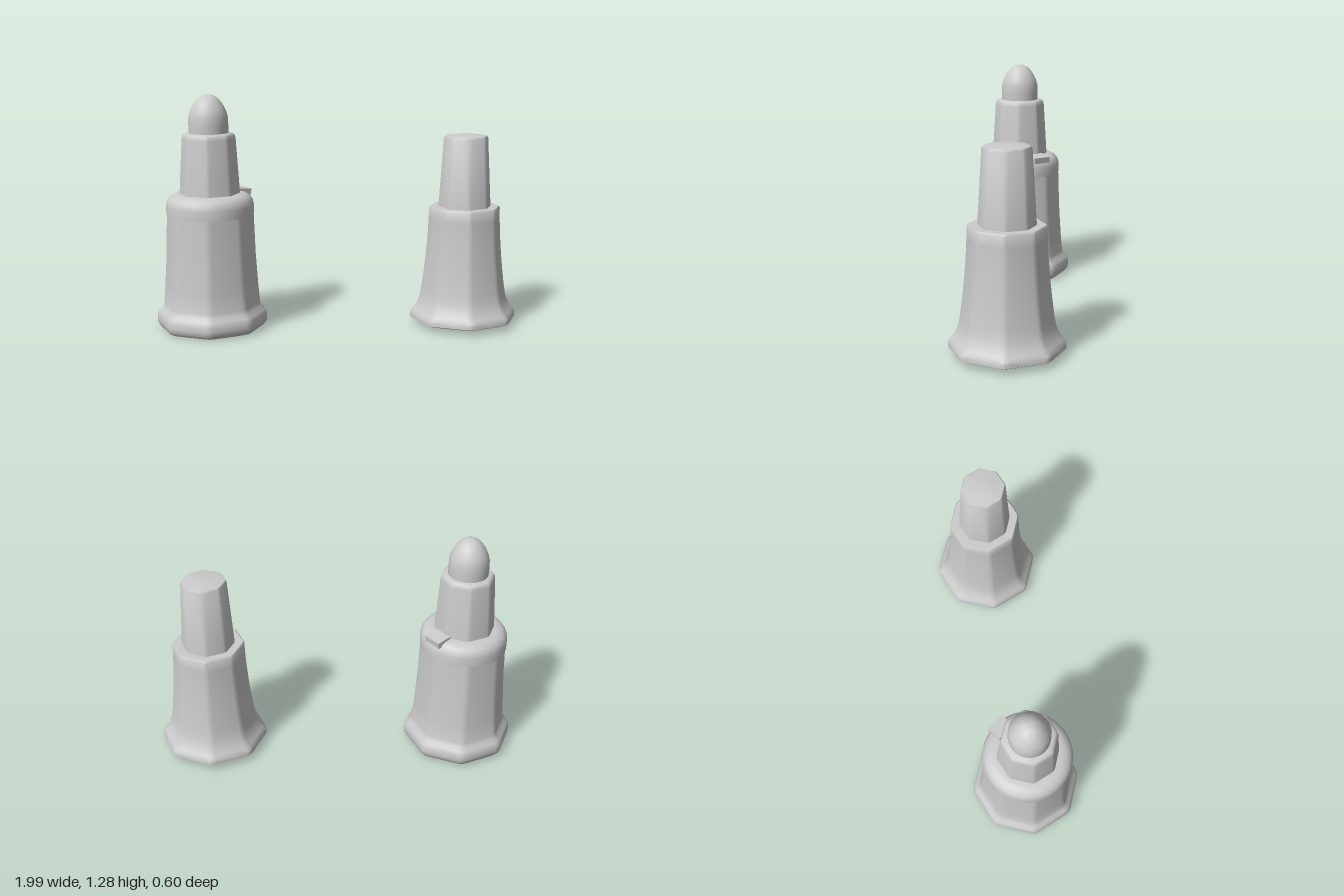
import * as THREE from 'three';
import { toCreasedNormals } from 'three/addons/utils/BufferGeometryUtils.js';

const material = new THREE.MeshStandardMaterial({ color: 0xcccccc });

function addMesh(parent, name, geometry) {
  const mesh = new THREE.Mesh(geometry, material);
  mesh.name = name;
  parent.add(mesh);
  return mesh;
}

const toPoints = (profile) => profile.map(([r, y]) => new THREE.Vector2(r, y));

// Round turned part; profile is [radius, height] from bottom to top
function turned(profile) {
  return toCreasedNormals(new THREE.LatheGeometry(toPoints(profile), 40), 0.7);
}

// Octagonal part with softened corners: a lathe whose columns slide onto octagon sides
function octagonal(profile) {
  const geometry = new THREE.LatheGeometry(toPoints(profile), 32);
  const pos = geometry.attributes.position;
  const along = [0, 0.1, 0.5, 0.9];
  const step = Math.PI / 4;
  for (let i = 0; i < pos.count; i++) {
    const r = profile[i % profile.length][0];
    const column = Math.floor(i / profile.length) % 32;
    const a = Math.floor(column / 4) * step;
    const t = along[column % 4];
    const scale = t === 0 ? r * 0.985 : r;
    pos.setX(i, scale * (Math.sin(a) * (1 - t) + Math.sin(a + step) * t));
    pos.setZ(i, scale * (Math.cos(a) * (1 - t) + Math.cos(a + step) * t));
  }
  return toCreasedNormals(geometry, 0.7);
}

function createTallTower() {
  const tower = new THREE.Group();
  tower.name = 'tallTower';

  // Flared base and tapering body
  addMesh(tower, 'body', octagonal([
    [0, 0.005], [0.27, 0.005], [0.29, 0.012], [0.304, 0.03], [0.307, 0.05], [0.305, 0.08],
    [0.295, 0.1], [0.276, 0.118], [0.268, 0.14], [0.259, 0.24], [0.247, 0.42],
    [0.24, 0.62], [0.238, 0.68], [0, 0.68],
  ]));

  // Round shoulder ring
  addMesh(tower, 'shoulderRing', turned([
    [0.2, 0.64], [0.237, 0.64], [0.238, 0.69], [0.232, 0.715], [0.218, 0.735],
    [0.196, 0.748], [0.17, 0.753], [0, 0.753],
  ]));

  // Upper shaft
  addMesh(tower, 'shaft', octagonal([
    [0.168, 0.72], [0.166, 0.75], [0.147, 1.05], [0.144, 1.066],
    [0.137, 1.076], [0.125, 1.081], [0, 1.081],
  ]));

  // Pointed dome
  addMesh(tower, 'dome', turned([
    [0.106, 1.07], [0.107, 1.12], [0.106, 1.165], [0.098, 1.195], [0.084, 1.225],
    [0.066, 1.252], [0.045, 1.273], [0.022, 1.284], [0, 1.287],
  ]));

  // Small ledge on the shoulder, at the back left
  const ledge = new THREE.Group();
  ledge.name = 'ledge';
  ledge.rotation.y = Math.atan2(0.6, 0.8);
  tower.add(ledge);
  const slab = addMesh(ledge, 'ledgeSlab', new THREE.BoxGeometry(0.085, 0.035, 0.105));
  slab.position.set(0.195, 0.745, 0);
  slab.rotation.z = -0.12;
  return tower;
}

function createShortTower() {
  const tower = new THREE.Group();
  tower.name = 'shortTower';

  // Widely flared body
  addMesh(tower, 'body', octagonal([
    [0, 0.033], [0.285, 0.033], [0.3, 0.04], [0.3, 0.065], [0.283, 0.085], [0.262, 0.115],
    [0.247, 0.155], [0.238, 0.2], [0.226, 0.29], [0.215, 0.39], [0.206, 0.5],
    [0.201, 0.6], [0.2, 0.658], [0.193, 0.667], [0, 0.667],
  ]));

  // Upper shaft with a slightly crowned top
  addMesh(tower, 'shaft', octagonal([
    [0.149, 0.64], [0.147, 0.667], [0.124, 1.045], [0.118, 1.054], [0.06, 1.062], [0, 1.064],
  ]));
  return tower;
}

export function createModel() {
  const model = new THREE.Group();
  model.name = 'towerPair';
  const tall = createTallTower();
  tall.position.x = -0.697;
  const short = createShortTower();
  short.position.x = 0.7;
  model.add(tall, short);
  return model;
}
